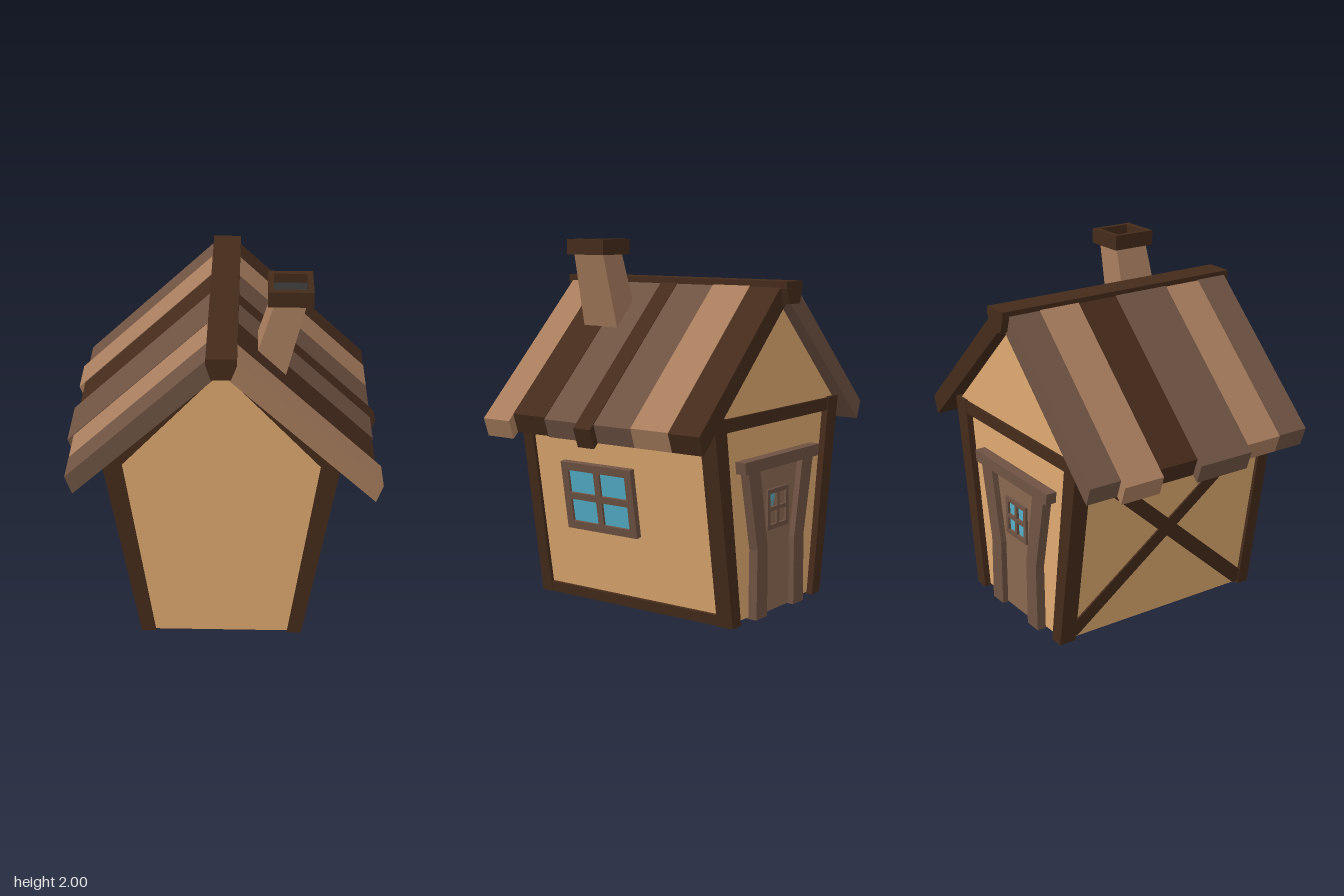
import * as THREE from 'three';

const COLORS = {
  plaster: 0xe0aa70, dark: 0x452b1b, medium: 0x6f5343, light: 0xa87d5e,
  door: 0x8a6850, glass: 0x55b0c8, soot: 0x333333,
};
const mats = {};
for (const k in COLORS) mats[k] = new THREE.MeshStandardMaterial({ color: COLORS[k] });

const LEAN = 0.158;   // outward lean of the side walls
const FOOT = 0.445;   // half width of the house at the ground

function mesh(name, geometry, color) {
  const m = new THREE.Mesh(geometry, mats[color]);
  m.name = name;
  return m;
}

function outline(pts) {
  return new THREE.Shape(pts.map(([x, y]) => new THREE.Vector2(x, y)));
}

// Outline in x, y extruded from z0 to z1
function prism(name, shape, z0, z1, color) {
  const s = Array.isArray(shape) ? outline(shape) : shape;
  const g = new THREE.ExtrudeGeometry(s, { depth: z1 - z0, bevelEnabled: false });
  g.translate(0, 0, z0);
  return mesh(name, g, color);
}

function box(name, x0, x1, y0, y1, z0, z1, color) {
  const g = new THREE.BoxGeometry(x1 - x0, y1 - y0, z1 - z0);
  g.translate((x0 + x1) / 2, (y0 + y1) / 2, (z0 + z1) / 2);
  return mesh(name, g, color);
}

const rect = (x0, x1, y0, y1) => [[x0, y0], [x1, y0], [x1, y1], [x0, y1]];
const mirror = (pts, s) => pts.map(([x, y]) => [x * s, y]);

// Four-pane window facing +z, centred on the origin
function makeWindow(name, w, h, border, bar, depth) {
  const group = new THREE.Group();
  group.name = name;
  const frame = outline(rect(-w / 2, w / 2, -h / 2, h / 2));
  for (const sx of [-1, 1]) for (const sy of [-1, 1]) {
    const xs = [sx * bar / 2, sx * (w / 2 - border)].sort((a, b) => a - b);
    const ys = [sy * bar / 2, sy * (h / 2 - border)].sort((a, b) => a - b);
    frame.holes.push(outline(rect(...xs, ...ys)));
  }
  group.add(prism('windowFrame', frame, -0.03, depth, 'medium'));
  group.add(box('windowGlass', -w / 2 + 0.01, w / 2 - 0.01, -h / 2 + 0.01, h / 2 - 0.01, -0.028, depth - 0.014, 'glass'));
  return group;
}

// Group whose +z looks out of a leaning side wall, y running up the wall
function sideWall(name, s) {
  const g = new THREE.Group();
  g.name = name;
  g.position.x = s * FOOT;
  g.rotation.order = 'ZYX';
  g.rotation.set(0, s * Math.PI / 2, -s * LEAN);
  return g;
}

function addHouse(root) {
  root.add(prism('walls', [[-0.425, 0.01], [0.425, 0.01], [0.6, 1.1], [0, 1.67], [-0.6, 1.1]], -0.62, 0.645, 'plaster'));
  root.add(prism('backGable', [[-0.6, 1.1], [0.6, 1.1], [0, 1.68]], -0.64, -0.6, 'plaster'));
  root.add(box('backBeam', -0.57, 0.57, 1.04, 1.11, -0.654, -0.6, 'dark'));
  for (const s of [-1, 1]) {
    const post = mirror([[0.365, 0], [FOOT, 0], [0.622, 1.115], [0.517, 1.115]], s);
    root.add(prism('frontPost', post, 0.58, 0.65, 'dark'));
    root.add(prism('backPost', post, -0.657, -0.56, 'dark'));
    root.add(prism('frontRafter', mirror([[0.515, 1.11], [0.622, 1.11], [0, 1.72], [0, 1.67]], s), 0.59, 0.65, 'dark'));
  }

  // Right-hand column of the frame: sill, top beam and window
  const left = sideWall('windowSide', 1);
  left.add(box('sill', -0.6, 0.6, 0, 0.06, -0.04, -0.004, 'dark'));
  left.add(box('topBeam', -0.6, 0.6, 1.04, 1.12, -0.04, -0.004, 'dark'));
  const win = makeWindow('sideWindow', 0.48, 0.385, 0.045, 0.038, 0.014);
  win.position.set(-0.145, 0.617, 0);
  left.add(win);
  root.add(left);

  // Opposite side: crossed braces
  const right = sideWall('braceSide', -1);
  right.add(box('topBeam', -0.6, 0.6, 1.04, 1.12, -0.04, -0.004, 'dark'));
  for (const s of [-1, 1]) {
    const brace = mirror([[-0.6, 0.02], [-0.54, 0.02], [0.6, 1.05], [0.6, 1.1], [0.54, 1.1], [-0.6, 0.08]], s);
    right.add(prism('crossBrace', brace, -0.04, -0.005 - 0.003 * (s + 1), 'dark'));
  }
  root.add(right);
}

function addDoor(root) {
  const door = new THREE.Group();
  door.name = 'door';
  door.rotation.y = Math.PI;
  door.add(prism('doorPanel', [[-0.17, 0.005], [0.17, 0.005], [0.17, 0.38], [0.26, 0.82], [-0.26, 0.82], [-0.17, 0.38]], 0.6, 0.638, 'door'));
  for (const s of [-1, 1]) {
    const jamb = [[0.135, 0], [0.24, 0], [0.235, 0.38], [0.325, 0.81], [0.215, 0.81], [0.135, 0.38]];
    door.add(prism('doorJamb', mirror(jamb, s), 0.6, 0.672, 'medium'));
  }
  door.add(prism('lintel', [[-0.365, 0.805], [0.365, 0.805], [0.375, 0.87], [-0.375, 0.87]], 0.6, 0.682, 'medium'));
  const win = makeWindow('doorWindow', 0.21, 0.22, 0.025, 0.022, 0.014);
  win.position.set(0, 0.57, 0.638);
  door.add(win);
  root.add(door);
}

function addRoof(root) {
  // Each plank: z start, z end, colour, extra length
  const planks = {
    '1': [[-0.7, -0.51, 'dark', 0], [-0.51, -0.275, 'light', 0], [-0.275, -0.035, 'medium', 0], [-0.035, 0.075, 'dark', 0.03],
      [0.075, 0.3, 'medium', 0], [0.3, 0.525, 'dark', -0.005], [0.525, 0.71, 'light', 0.03]],
    '-1': [[-0.7, -0.515, 'medium', 0], [-0.515, -0.275, 'light', 0.035], [-0.275, -0.035, 'dark', 0], [-0.035, 0.3, 'medium', 0.035],
      [0.3, 0.525, 'light', 0], [0.525, 0.71, 'medium', 0]],
  };
  for (const s of [1, -1]) planks[s].forEach(([z0, z1, color, d], i) => {
    const lift = (i % 2) * 0.004;
    const section = [[0, 1.69], [0.775 + d, 0.965 - d * 0.9], [0.81 + d, 1.065 - d * 0.9 + lift], [0.06, 1.775 + lift], [0, 1.775]];
    root.add(prism('roofPlank', mirror(section, s), z0, z1, color));
  });
  root.add(prism('ridgeBeam', [[-0.05, 1.67], [0.05, 1.67], [0.08, 1.75], [0.08, 1.788], [-0.075, 1.788], [-0.075, 1.75]], -0.74, 0.738, 'dark'));
}

function addChimney(root) {
  // Leaning, slightly tapered shaft
  const g = new THREE.BoxGeometry(1, 1, 1);
  const p = g.attributes.position;
  for (let i = 0; i < p.count; i++) {
    const top = p.getY(i) > 0;
    const x = p.getX(i) > 0 ? (top ? 0.428 : 0.313) : (top ? 0.265 : 0.12);
    p.setXYZ(i, x, top ? 1.93 : 1.46, 0.305 + p.getZ(i) * (top ? 0.2 : 0.235));
  }
  g.computeVertexNormals();
  root.add(mesh('chimneyShaft', g, 'light'));

  // Open cap
  const ring = outline(rect(-0.115, 0.115, -0.126, 0.126));
  ring.holes.push(outline(rect(-0.086, 0.086, -0.092, 0.092)));
  const cap = prism('chimneyCap', ring, 0, 0.083, 'dark');
  cap.rotation.x = -Math.PI / 2;
  cap.position.set(0.345, 1.917, 0.303);
  root.add(cap);
  root.add(box('flue', 0.25, 0.44, 1.92, 1.95, 0.2, 0.405, 'soot'));
}

export function createModel() {
  const root = new THREE.Group();
  root.name = 'cottage';
  addHouse(root);
  addDoor(root);
  addRoof(root);
  addChimney(root);
  return root;
}
